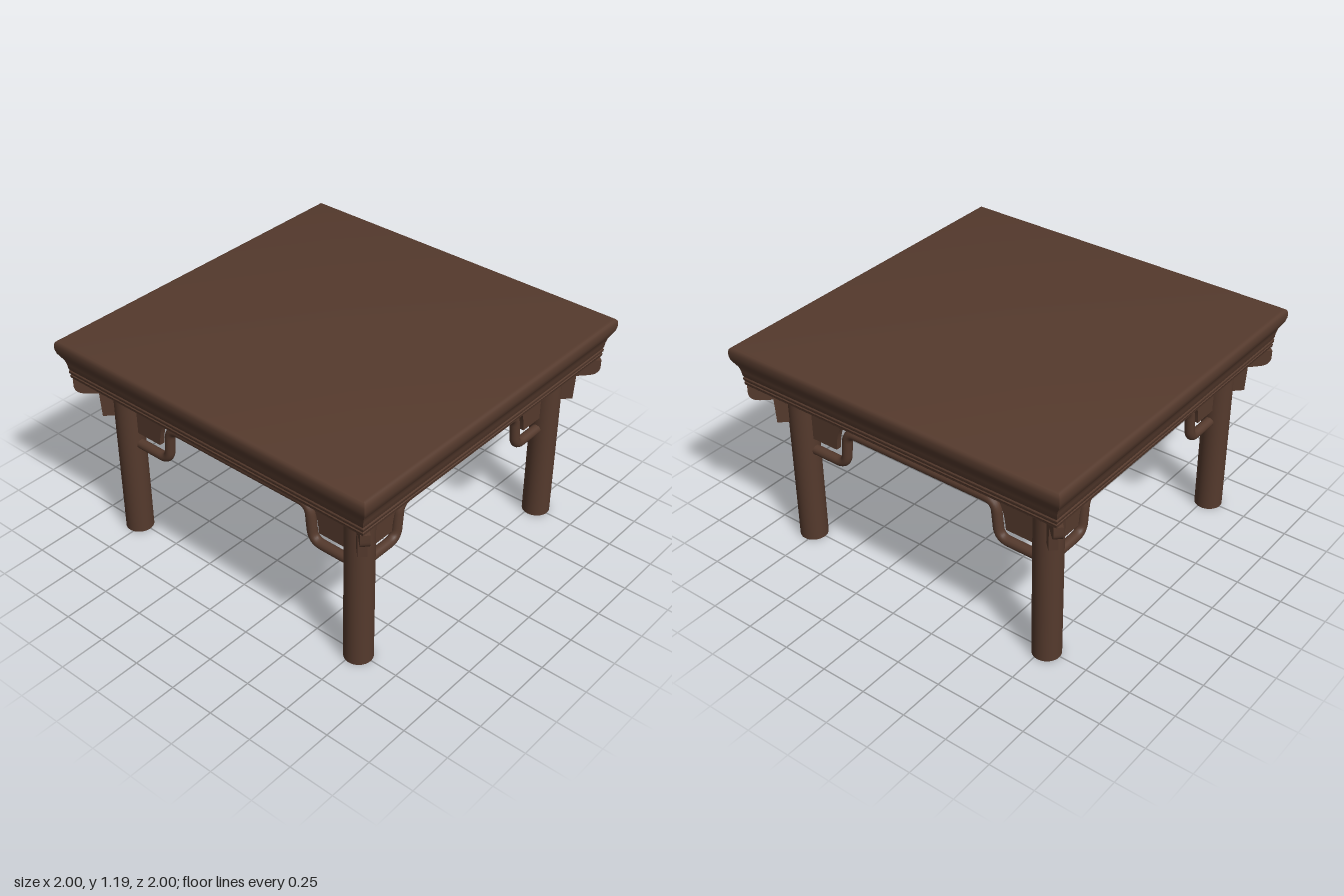
import * as THREE from 'three';
import { toCreasedNormals } from 'three/addons/utils/BufferGeometryUtils.js';

const LEG_X = 0.755, LEG_Z = 0.772, LEG_R = 0.075, UNDER = 0.96;

// Square moulded top: a four-sided lathe whose profile gives half-widths
function topGeometry() {
  const profile = [
    [0, 0.96], [0.95, 0.96], [0.955, 0.965], [0.957, 0.98], [0.953, 0.985],
    [0.959, 0.992], [0.96, 1.005], [0.956, 1.011], [0.96, 1.02], [0.963, 1.045],
    [0.97, 1.07], [0.983, 1.092], [0.994, 1.112], [1, 1.135], [1, 1.162],
    [0.996, 1.175], [0.988, 1.183], [0.976, 1.186], [0, 1.186],
  ].map(([w, y]) => new THREE.Vector2(w * Math.SQRT2, y));
  return toCreasedNormals(new THREE.LatheGeometry(profile, 4, Math.PI / 4), 0.65);
}

function extrude(shape, depth) {
  const geo = new THREE.ExtrudeGeometry(shape, { depth, bevelEnabled: false, curveSegments: 10 });
  geo.translate(0, 0, -depth / 2);
  return toCreasedNormals(geo, 0.6);
}

// Apron board with a raised centre and an arched notch at each end
function apronGeometry(half) {
  const s = new THREE.Shape();
  s.moveTo(-half, UNDER);
  s.lineTo(-half, 0.642);
  s.lineTo(-0.537, 0.642);
  s.bezierCurveTo(-0.528, 0.75, -0.5, 0.83, -0.42, 0.832);
  s.quadraticCurveTo(-0.375, 0.828, -0.335, 0.79);
  s.lineTo(0.335, 0.79);
  s.quadraticCurveTo(0.375, 0.828, 0.42, 0.832);
  s.bezierCurveTo(0.5, 0.83, 0.528, 0.75, 0.537, 0.642);
  s.lineTo(half, 0.642);
  s.lineTo(half, UNDER);
  s.closePath();
  return extrude(s, 0.03);
}

// Round humpback rail with softened bends
function railGeometry(half) {
  const pts = [
    [-half, 0.567], [-0.487, 0.567], [-0.466, 0.772],
    [0.466, 0.772], [0.487, 0.567], [half, 0.567],
  ].map(([x, y]) => new THREE.Vector3(x, y, 0));
  const path = new THREE.CurvePath();
  let from = pts[0];
  for (let i = 1; i < pts.length - 1; i++) {
    const toward = (p) => p.clone().sub(pts[i]).setLength(0.06).add(pts[i]);
    const a = toward(pts[i - 1]), b = toward(pts[i + 1]);
    path.add(new THREE.LineCurve3(from, a));
    path.add(new THREE.QuadraticBezierCurve3(a, pts[i], b));
    from = b;
  }
  path.add(new THREE.LineCurve3(from, pts[pts.length - 1]));
  return new THREE.TubeGeometry(path, 160, 0.027, 14, false);
}

// Stepped corner bracket, running outward along +x from the leg axis
function bracketGeometry() {
  const s = new THREE.Shape();
  s.moveTo(0.03, UNDER);
  s.lineTo(0.03, 0.73);
  s.lineTo(0.133, 0.73);
  s.lineTo(0.14, 0.87);
  s.lineTo(0.205, 0.872);
  s.quadraticCurveTo(0.26, 0.875, 0.262, 0.92);
  s.lineTo(0.262, UNDER);
  s.closePath();
  return extrude(s, 0.045);
}

export function createModel() {
  const wood = new THREE.MeshStandardMaterial({ color: 0x553a2d });
  wood.name = 'darkWood';
  const model = new THREE.Group();
  model.name = 'squareTable';
  const add = (name, geo, x = 0, y = 0, z = 0, turn = 0) => {
    const mesh = new THREE.Mesh(geo, wood);
    mesh.name = name;
    mesh.position.set(x, y, z);
    mesh.rotation.y = turn;
    model.add(mesh);
  };

  add('tableTop', topGeometry());

  // Legs with a diagonal bracket at each corner
  const leg = new THREE.CylinderGeometry(LEG_R, LEG_R, UNDER, 32);
  const bracket = bracketGeometry();
  for (const sx of [-1, 1]) {
    for (const sz of [-1, 1]) {
      add('leg', leg, sx * LEG_X, UNDER / 2, sz * LEG_Z);
      add('cornerBracket', bracket, sx * LEG_X, 0, sz * LEG_Z, Math.atan2(-sz, sx));
    }
  }

  // Aprons and rails on all four sides
  const apronX = apronGeometry(LEG_X), apronZ = apronGeometry(LEG_Z);
  const railX = railGeometry(LEG_X), railZ = railGeometry(LEG_Z);
  for (const s of [-1, 1]) {
    add('apron', apronX, 0, 0, s * LEG_Z);
    add('rail', railX, 0, 0, s * LEG_Z);
    add('sideApron', apronZ, s * LEG_X, 0, 0, Math.PI / 2);
    add('sideRail', railZ, s * LEG_X, 0, 0, Math.PI / 2);
  }
  return model;
}
